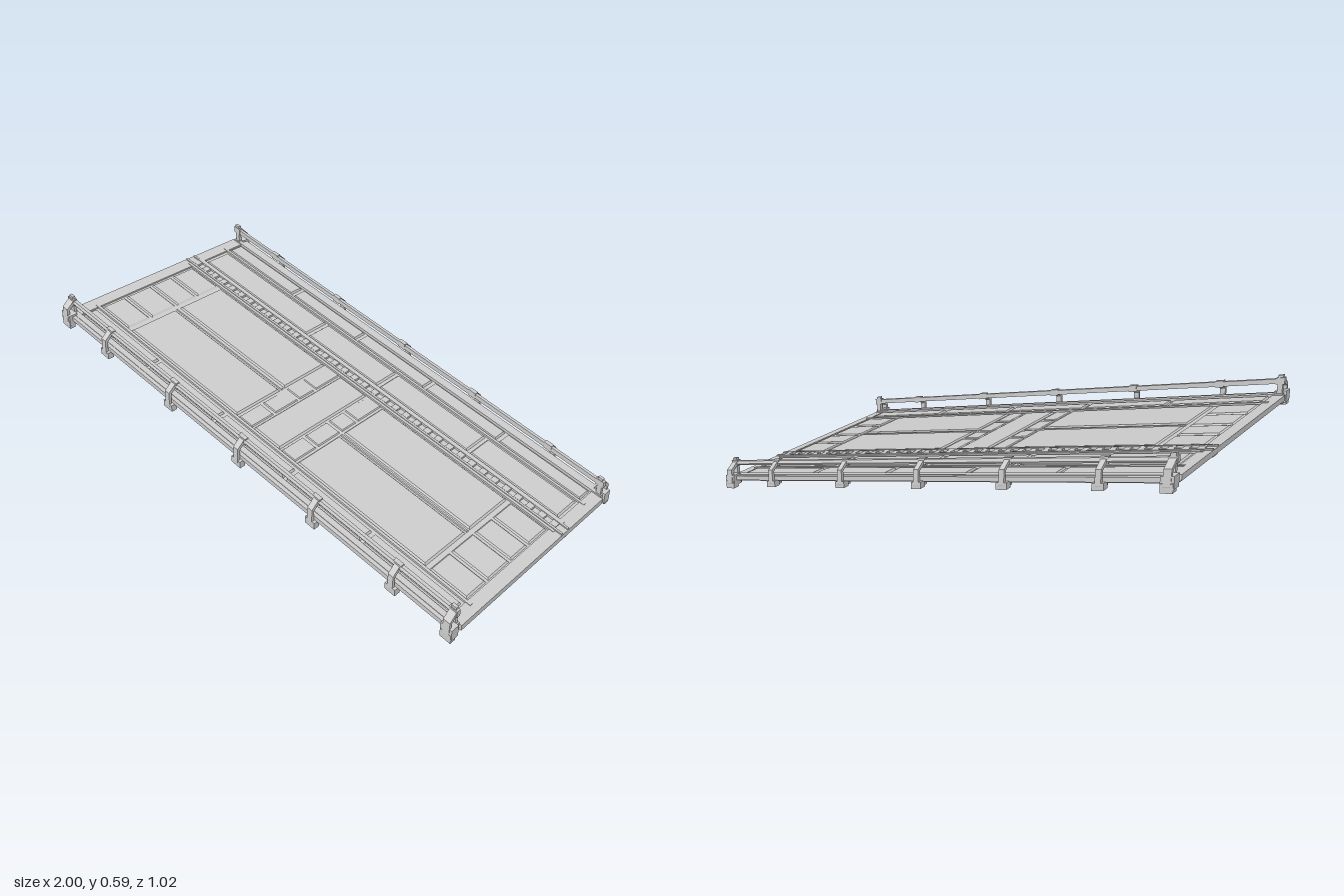
import * as THREE from 'three';

const SLOPE = -0.235, MID = 0.275;

export function createModel() {
  const root = new THREE.Group();
  root.name = 'slopedBridgeDeck';
  const mat = new THREE.MeshStandardMaterial({ color: 0xcccccc, flatShading: true });
  // Everything is laid out level, then sheared so it falls towards +x
  const shear = new THREE.Matrix4().set(1, 0, 0, 0, SLOPE, 1, 0, MID, 0, 0, 1, 0, 0, 0, 0, 1);

  function add(name, geo, parent = root) {
    geo.applyMatrix4(shear);
    geo.computeVertexNormals();
    const mesh = new THREE.Mesh(geo, mat);
    mesh.name = name;
    parent.add(mesh);
    return mesh;
  }
  // Box given by its limits on each axis
  function box(name, x0, x1, y0, y1, z0, z1, parent) {
    const g = new THREE.BoxGeometry(x1 - x0, y1 - y0, z1 - z0);
    g.translate((x0 + x1) / 2, (y0 + y1) / 2, (z0 + z1) / 2);
    return add(name, g, parent);
  }
  // Box whose top edges are chamfered inwards
  function panel(name, x0, x1, y0, y1, z0, z1, parent, inset = 0.008) {
    const w = x1 - x0, d = z1 - z0;
    const g = new THREE.BoxGeometry(w, y1 - y0, d);
    const p = g.attributes.position;
    for (let i = 0; i < p.count; i++) {
      if (p.getY(i) < 0) continue;
      p.setX(i, p.getX(i) * (1 - 2 * inset / w));
      p.setZ(i, p.getZ(i) * (1 - 2 * inset / d));
    }
    g.translate((x0 + x1) / 2, (y0 + y1) / 2, (z0 + z1) / 2);
    return add(name, g, parent);
  }
  // Outline in the z-y plane, swept along x
  function profile(name, pts, x0, x1, side, parent) {
    const s = new THREE.Shape(pts.map(([z, y]) => new THREE.Vector2(-z * side, y)));
    const g = new THREE.ExtrudeGeometry(s, { depth: x1 - x0, bevelEnabled: false });
    g.rotateY(Math.PI / 2);
    // the sweep turns shape x into -z, so the sign above restores z
    g.translate(x0, 0, 0);
    return add(name, g, parent);
  }
  function group(name) {
    const g = new THREE.Group();
    g.name = name;
    root.add(g);
    return g;
  }

  // Structural slab and its frame
  const frame = group('deckFrame');
  box('slab', -0.97, 0.97, -0.018, -0.006, -0.455, 0.455, frame);
  for (const s of [-1, 1]) {
    const a = s < 0 ? -1 : 0.95, b = s < 0 ? -0.95 : 1;
    box('endBeam', a, b, -0.022, 0, -0.455, 0.455, frame);
  }
  for (const z of [-0.37, 0.36, -0.222, -0.157])
    box('longRib', -0.97, 0.97, -0.01, 0.002, z - 0.006, z + 0.006, frame);

  // Main carriageway: four large plates, a middle cross and end plates
  const road = group('roadway');
  for (const s of [-1, 1]) {
    for (const [z0, z1] of [[-0.148, 0.088], [0.112, 0.35]]) {
      const x0 = s < 0 ? -0.765 : 0.155;
      panel('roadPlate', x0, x0 + 0.61, -0.008, 0, z0, z1, road);
    }
    const m = s < 0 ? -0.765 : 0.155;
    panel('seamStrip', m, m + 0.61, -0.008, -0.002, 0.093, 0.107, road, 0.003);
    for (const [z0, z1] of [[-0.148, -0.03], [-0.022, 0.085], [0.093, 0.225], [0.233, 0.35]]) {
      const x0 = s < 0 ? -0.945 : 0.78;
      panel('endPlate', x0, x0 + 0.165, -0.008, -0.001, z0, z1, road);
    }
    for (const [z0, z1] of [[-0.148, -0.01], [0, 0.085], [0.095, 0.22], [0.23, 0.35]]) {
      const x0 = s < 0 ? -0.148 : 0.075;
      panel('crossPlate', x0, x0 + 0.073, -0.008, -0.002, z0, z1, road, 0.005);
    }
  }
  panel('crossBeam', -0.07, 0.07, -0.008, 0, -0.15, 0.35, road);

  // Narrow side lane
  const lane = group('sideLane');
  const laneCuts = [-0.945, -0.33, 0.06, 0.52, 0.945];
  for (let i = 0; i < 4; i++)
    panel('lanePlate', laneCuts[i] + 0.005, laneCuts[i + 1] - 0.005, -0.008, 0, -0.36, -0.23, lane);

  // Slotted channel between lane and roadway
  const drain = group('slottedChannel');
  box('channelBed', -0.998, 0.998, -0.027, -0.004, -0.21, -0.168, drain);
  for (const z of [-0.21, -0.168])
    box('channelRail', -0.998, 0.998, -0.02, 0.005, z - 0.005, z + 0.005, drain);
  for (let i = 0; i < 36; i++) {
    const x = -0.95 + i * 1.9 / 35;
    box('channelBar', x - 0.013, x + 0.013, -0.006, 0.004, -0.203, -0.175, drain);
  }

  // C-shaped bracket holding the rail from outside the deck
  const bracketPts = [
    [0.46, 0.064], [0.471, 0.064], [0.508, 0.036], [0.511, -0.022], [0.502, -0.04], [0.458, -0.036],
    [0.458, -0.024], [0.492, -0.026], [0.499, -0.015], [0.497, 0.028], [0.471, 0.048], [0.46, 0.05]];
  const postX = [-0.975, -0.737, -0.368, 0, 0.368, 0.737, 0.975];
  const walkCuts = [-0.95, -0.555, -0.185, 0.185, 0.555, 0.95];

  for (const side of [-1, 1]) {
    const label = side > 0 ? 'front' : 'back';
    const walk = group(label + 'Walkway');
    const rail = group(label + 'Railing');
    const zbox = (n, x0, x1, y0, y1, a, b, p) =>
      box(n, x0, x1, y0, y1, Math.min(a * side, b * side), Math.max(a * side, b * side), p);

    // Walkway slabs with seams, deeper underneath than the road
    zbox('walkBase', -0.995, 0.995, -0.026, -0.006, 0.372, 0.455, walk);
    for (let i = 0; i < 5; i++) {
      const z = [0.378 * side, 0.448 * side].sort((a, b) => a - b);
      panel('walkPlate', walkCuts[i] + 0.006, walkCuts[i + 1] - 0.006, -0.01, 0.002, z[0], z[1], walk, 0.006);
      if (i) zbox('underRib', walkCuts[i] - 0.008, walkCuts[i] + 0.008, -0.03, -0.024, 0.372, 0.455, walk);
    }

    // Edge beam and pipes along the side
    zbox('edgeBeam', -0.99, 0.99, -0.022, 0.006, 0.453, 0.478, rail);
    zbox('lowerPipe', -0.99, 0.99, -0.014, 0.004, 0.478, 0.494, rail);
    profile('topRail', [[0.458, 0.045], [0.472, 0.045], [0.477, 0.053], [0.472, 0.064], [0.458, 0.064]],
      -0.985, 0.985, side, rail);

    // Brackets, with heavier ones at both ends
    for (const x of postX) {
      const end = Math.abs(x) > 0.9;
      const h = end ? 0.014 : 0.011;
      profile(end ? 'endBracket' : 'railBracket', bracketPts, x - h, x + h, side, rail);
      zbox('bracketFoot', x - 0.022, x + 0.022, end ? -0.045 : -0.038, -0.012, 0.484, 0.51, rail);
      zbox('bracketClamp', x - 0.017, x + 0.017, 0.042, 0.068, 0.457, 0.475, rail);
      if (end) {
        zbox('endPost', x - 0.01, x + 0.01, -0.02, 0.078, 0.459, 0.472, rail);
        zbox('endBlock', x - 0.024, x + 0.024, -0.034, 0.012, 0.47, 0.508, rail);
      }
    }
  }
  return root;
}
